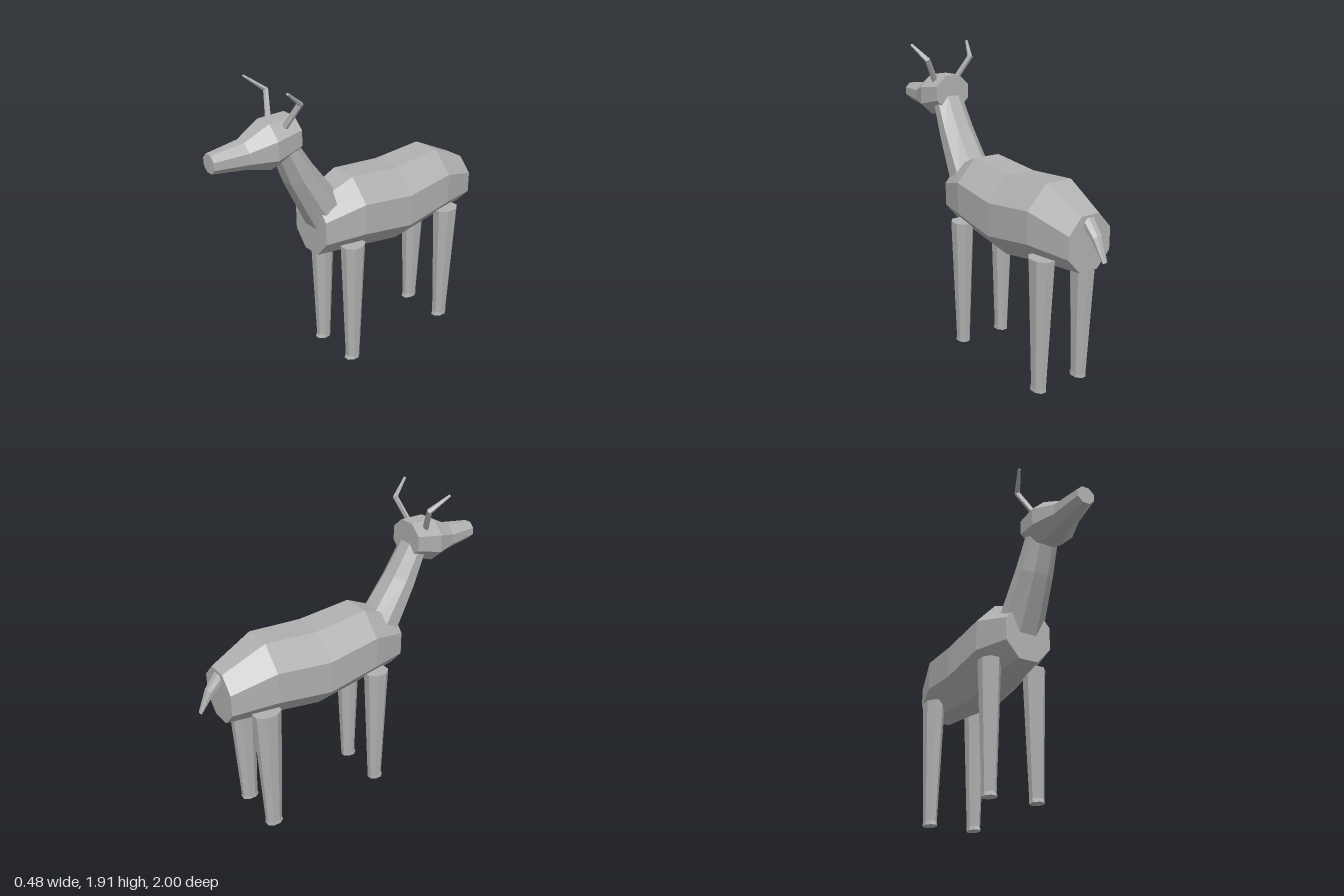
import * as THREE from 'three';

const V = (a) => new THREE.Vector3(...a);

// Skins rings of [x, y, z, halfWidth, halfHeight]; rings face along axis, or along the path if omitted.
function loft(rows, axis, sides = 8) {
  const pts = rows.map((r) => V(r.slice(0, 3)));
  const rings = rows.map((r, j) => {
    const t = axis ? V(axis) : pts[Math.min(j + 1, pts.length - 1)].clone().sub(pts[Math.max(j - 1, 0)]);
    t.normalize();
    const u = new THREE.Vector3(1, 0, 0);
    u.addScaledVector(t, -u.dot(t)).normalize();
    const v = t.clone().cross(u);
    const grow = 1 / Math.cos(Math.PI / sides);
    return Array.from({ length: sides }, (_, i) => {
      const a = ((i + 0.5) / sides) * Math.PI * 2;
      return pts[j].clone()
        .addScaledVector(u, r[3] * grow * Math.cos(a))
        .addScaledVector(v, r[4] * grow * Math.sin(a));
    });
  });
  const out = [];
  const tri = (...ps) => ps.forEach((p) => out.push(p.x, p.y, p.z));
  const last = rings.length - 1;
  for (let i = 0; i < sides; i++) {
    const k = (i + 1) % sides;
    for (let j = 0; j < last; j++) {
      const [a, b, c, d] = [rings[j][i], rings[j][k], rings[j + 1][k], rings[j + 1][i]];
      tri(a, b, c);
      tri(a, c, d);
    }
    tri(pts[0], rings[0][k], rings[0][i]);
    tri(pts[last], rings[last][i], rings[last][k]);
  }
  const g = new THREE.BufferGeometry();
  g.setAttribute('position', new THREE.Float32BufferAttribute(out, 3));
  g.computeVertexNormals();
  return g;
}

export function createModel() {
  const model = new THREE.Group();
  model.name = 'antelope';
  const hide = new THREE.MeshStandardMaterial({ color: 0xb0b0b0, flatShading: true });
  hide.name = 'grey hide';
  const add = (name, geometry) => {
    const mesh = new THREE.Mesh(geometry, hide);
    mesh.name = name;
    model.add(mesh);
  };

  // Barrel body, from rump to chest
  add('body', loft([
    [0, 0.953, -0.87, 0.15, 0.163],
    [0, 1.008, -0.6, 0.22, 0.235],
    [0, 0.968, -0.25, 0.24, 0.247],
    [0, 1.01, 0.1, 0.22, 0.238],
    [0, 0.967, 0.35, 0.15, 0.176],
  ], [0, 0, 1]));

  // Neck sunk into the chest and the head
  add('neck', loft([
    [0, 1.02, 0.24, 0.135, 0.125],
    [0, 1.34, 0.435, 0.11, 0.09],
    [0, 1.55, 0.54, 0.095, 0.065],
  ], [0, 0.83, 0.55]));

  // Head tapering to the muzzle
  add('head', loft([
    [0, 1.6, 0.48, 0.12, 0.11],
    [0, 1.57, 0.65, 0.14, 0.133],
    [0, 1.548, 0.8, 0.085, 0.078],
    [0, 1.548, 1.0, 0.055, 0.053],
  ], [0, 0, 1]));

  // Drooping tail
  add('tail', loft([
    [0, 1.08, -0.85, 0.042, 0.035],
    [0, 1.0, -0.925, 0.034, 0.026],
    [0, 0.875, -0.996, 0.015, 0.006],
  ]));

  for (const [side, s] of [['left', 1], ['right', -1]]) {
    // Horn leaning out and back, then bent forward
    add(side + 'Horn', loft([
      [0.065 * s, 1.645, 0.575, 0.018, 0.014],
      [0.163 * s, 1.815, 0.517, 0.016, 0.015],
      [0.212 * s, 1.905, 0.63, 0.008, 0.006],
    ], null, 6));

    // Tapered legs with a slight flare at the foot
    const x = 0.155 * s;
    add(side + 'FrontLeg', loft([
      [x, 0, 0.16, 0.041, 0.05],
      [x, 0.025, 0.155, 0.039, 0.045],
      [x, 0.835, 0.15, 0.064, 0.076],
    ], [0, 1, 0]));
    add(side + 'HindLeg', loft([
      [x, 0, -0.64, 0.041, 0.055],
      [x, 0.025, -0.643, 0.039, 0.05],
      [x, 0.835, -0.65, 0.064, 0.085],
    ], [0, 1, 0]));
  }
  return model;
}
